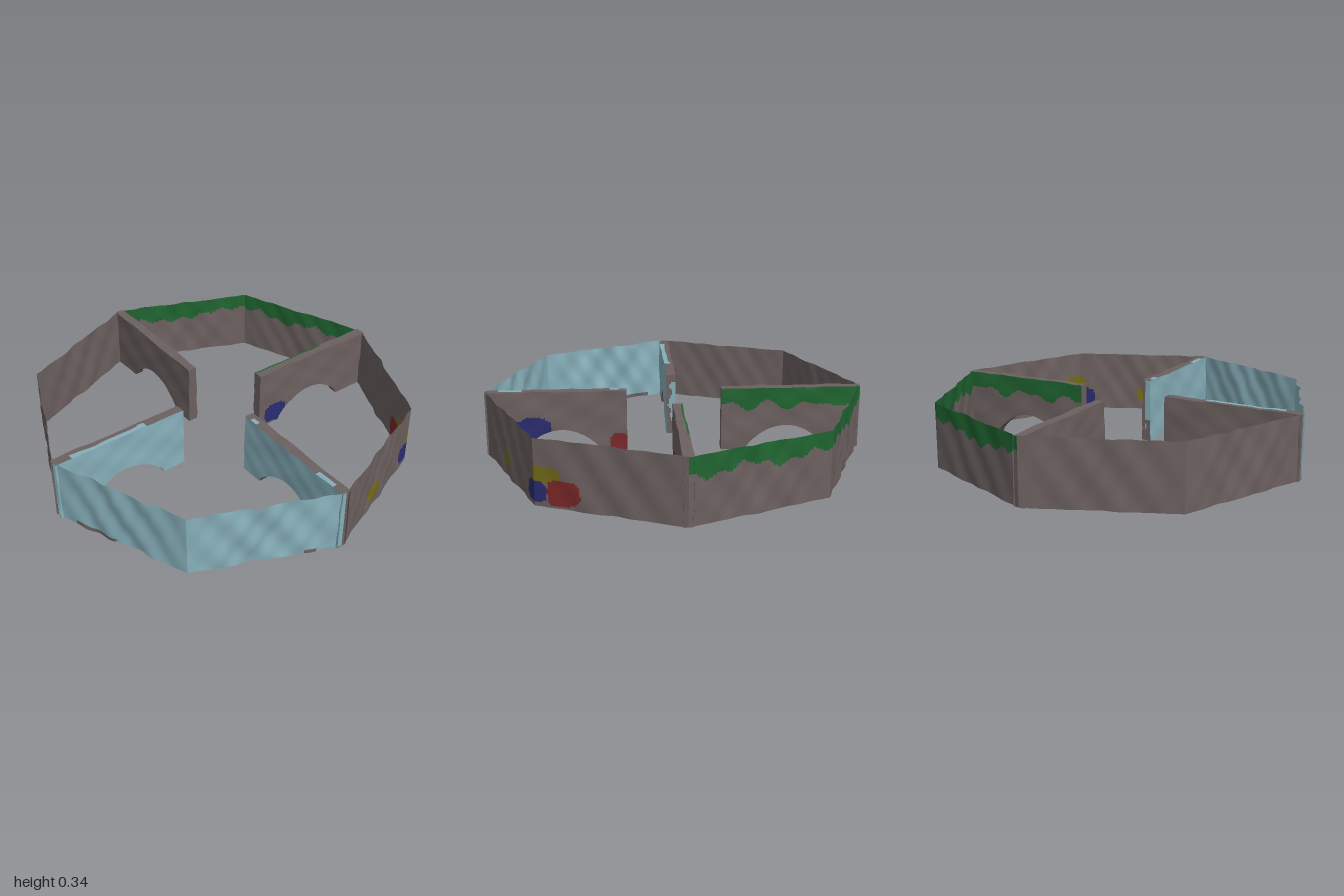
import * as THREE from 'three';

const HEIGHT = 0.34, INNER = 0.25, OUTER = 0.99, HALF = 0.025;

// Material slots
const STONE = 0, PALE = 1, GREEN = 2, YELLOW = 3, BLUE = 4, RED = 5;
const COLORS = [
  ['stone', 0x6c6060], ['paleBlue', 0x86aeb9], ['mossGreen', 0x1f6430],
  ['yellowPaint', 0x736a1a], ['bluePaint', 0x2a2c70], ['redPaint', 0x7a2828],
];

// Smooth, repeatable unevenness, roughly -1..1
const noise = (a, b, c = 0) =>
  (Math.sin(a * 9.1 + b * 7.3 + c) + Math.sin(a * 17.7 - b * 15.1 + c * 2.3)
    + 0.6 * Math.sin(a * 29 + b * 23 + c * 1.7)) / 2.6;

// Paint splashes: colour, centre x y z, half width, half height
const SPLASHES = [
  [YELLOW, 0.32, 0.09, 0.863, 0.06, 0.048],
  [BLUE, 0.685, 0.072, 0.705, 0.075, 0.055],
  [RED, 0.755, 0.075, 0.565, 0.085, 0.065],
  [YELLOW, 0.72, 0.16, 0.65, 0.075, 0.045],
  [BLUE, 0.36, 0.06, 0.025, 0.07, 0.055],
  [BLUE, 0.025, 0.135, 0.74, 0.09, 0.07],
  [RED, 0.025, 0.06, 0.29, 0.05, 0.05],
];

// Colour rule for each of the four rooms
const roomPaint = [
  (x, y, z) => {
    for (const [color, cx, cy, cz, w, h] of SPLASHES) {
      const across = Math.hypot(x - cx, z - cz) / w, up = Math.abs(y - cy) / h;
      if (across ** 3 + up ** 3 < 1 + 0.25 * noise(x * 4, y * 6, z)) return color;
    }
    return STONE;
  },
  (x, y, z) => {
    const chipped = (x < -0.86 && y < 0.025 && z > 0.1) || (x > -0.18 && x < -0.12 && z > 0.5 && y < 0.022);
    return chipped ? STONE : PALE;
  },
  () => STONE,
  (x, y, z) => (y > 0.245 + 0.018 * Math.sin(x * 22 - z * 27) + 0.012 * Math.sin(x * 41 + z * 37) ? GREEN : STONE),
];

// A grid surface from point(u, v), each cell painted by its own centre
function sheet(name, materials, nu, nv, point, paint) {
  const positions = [], cells = COLORS.map(() => []);
  for (let j = 0; j <= nv; j++)
    for (let i = 0; i <= nu; i++) positions.push(...point(i / nu, j / nv));
  for (let j = 0; j < nv; j++)
    for (let i = 0; i < nu; i++) {
      const a = j * (nu + 1) + i, b = a + 1, c = a + nu + 1, d = c + 1;
      const mid = [0, 1, 2].map(k => (positions[a * 3 + k] + positions[d * 3 + k]) / 2);
      cells[paint(...mid, (i + 0.5) / nu, (j + 0.5) / nv)].push(a, b, d, a, d, c);
    }
  const geometry = new THREE.BufferGeometry();
  geometry.setAttribute('position', new THREE.Float32BufferAttribute(positions, 3));
  geometry.setIndex(cells.flat());
  let start = 0;
  cells.forEach((list, k) => {
    if (list.length) geometry.addGroup(start, list.length, k);
    start += list.length;
  });
  geometry.computeVertexNormals();
  const mesh = new THREE.Mesh(geometry, materials);
  mesh.name = name;
  return mesh;
}

// Underside of a partition: flat feet with an uneven archway between
function archHeight(r) {
  const t = (r - 0.38) / 0.43;
  return t <= 0 || t >= 1 ? 0 : 0.13 * Math.pow(Math.sin(Math.PI * t), 0.7);
}

const topHeight = (a, b) => HEIGHT + 0.003 * noise(a * 2, b * 2);

// Thin outer wall between two octagon corners
function outerWall(k, materials) {
  const corner = n => {
    const a = n * Math.PI / 4, r = 0.99;
    return [Math.cos(a) * r, Math.sin(a) * r];
  };
  const [x0, z0] = corner(k), [x1, z1] = corner(k + 1);
  const ax = Math.cos((k + 0.5) * Math.PI / 4), az = Math.sin((k + 0.5) * Math.PI / 4);
  const room = k >> 1;
  const strength = room === 1 ? 0.015 : 0.009;
  return sheet('outerWall', materials, 76, 32, (u, v) => {
    const x = x0 + (x1 - x0) * u, z = z0 + (z1 - z0) * u;
    const bump = strength * noise(u * 1.3, v * 0.5, k * 2.1) * Math.sin(Math.PI * u) ** 0.6;
    return [x + ax * bump, v * topHeight(x, z), z + az * bump];
  }, roomPaint[room]);
}

// Thick inner partition running from the outer wall towards the centre
function partition(k, materials) {
  const group = new THREE.Group();
  group.name = 'partition';
  const dx = Math.round(Math.cos(k * Math.PI / 2)), dz = Math.round(Math.sin(k * Math.PI / 2));
  const at = (r, v, s) => {
    const low = archHeight(r);
    const y = low + (topHeight(r, k) - low) * v;
    const side = s * HALF + 0.004 * noise(r, y * 2, k * 3 + s);
    return [dx * r - dz * side, y, dz * r + dx * side];
  };
  const radius = u => INNER + (OUTER - INNER) * u;
  const before = (k + 3) % 4;

  // Two faces, each belonging to a different room
  for (const [s, room] of [[1, k], [-1, before]])
    group.add(sheet('partitionFace', materials, 74, 32, (u, v) => at(radius(u), v, s), roomPaint[room]));

  // Top edge with worn paint from the pale room
  group.add(sheet('partitionTop', materials, 74, 6, (u, v) => at(radius(u), 1, 1 - 2 * v), (x, y, z, u, v) => {
    const r = radius(u);
    if (k === 2 && r > 0.47 && r < 0.9 && v > 0.45 + 0.2 * noise(r, 1)) return PALE;
    if (k === 1 && v < 0.5 && ((r > 0.8 && r < 0.92) || (r > 0.29 && r < 0.34))) return PALE;
    if (k === 0 && v > 0.8 && r < 0.7) return GREEN;
    return STONE;
  }));
  group.add(sheet('archUnderside', materials, 74, 2, (u, v) => at(radius(u), 0, 2 * v - 1), () => STONE));

  // Free end facing the centre
  group.add(sheet('partitionEnd', materials, 6, 32, (u, v) => at(INNER, v, 1 - 2 * u), (x, y, z, u) => {
    const pale = k === 1 ? 1 - u : u;
    const worn = y > 0.06 && y < 0.3 && pale < 0.55 + 0.3 * noise(y * 4, k);
    if (k === 1 && u < 0.7) return worn || y > 0.12 ? PALE : STONE;
    return k === 2 && worn ? PALE : STONE;
  }));
  return group;
}

export function createModel() {
  const materials = COLORS.map(([name, color]) => {
    const material = new THREE.MeshStandardMaterial({ color, side: THREE.DoubleSide });
    material.name = name;
    return material;
  });
  const model = new THREE.Group();
  model.name = 'octagonalEnclosure';
  for (let k = 0; k < 8; k++) model.add(outerWall(k, materials));
  for (let k = 0; k < 4; k++) model.add(partition(k, materials));
  return model;
}
